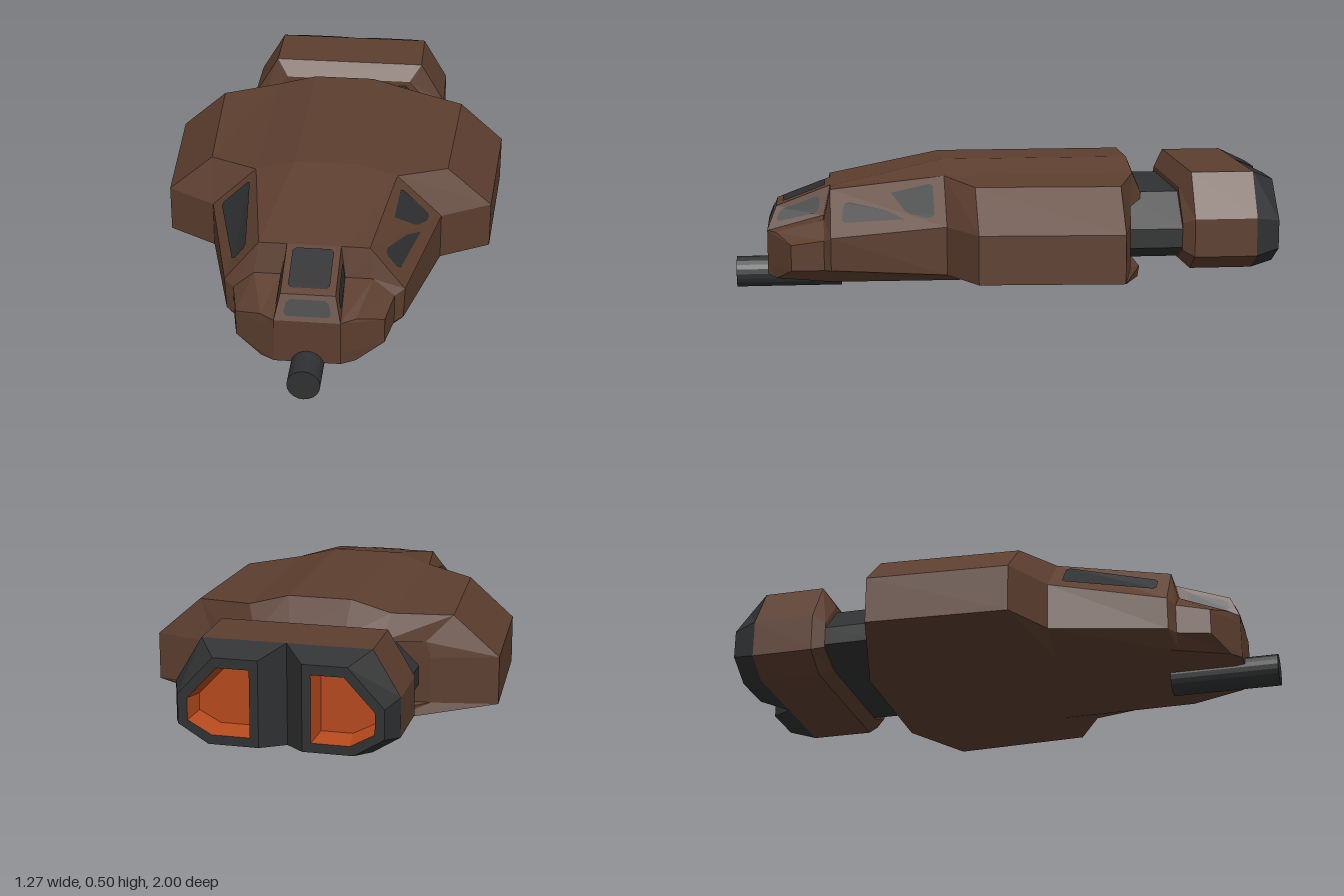
import * as THREE from 'three';

const mat = (name, color, extra = {}) => Object.assign(new THREE.MeshStandardMaterial({ color, flatShading: true, ...extra }), { name });

// Close a half outline (top to bottom on +x) by mirroring it to -x
const mirrorRing = (half) => [...half, ...half.map(([x, y, z]) => [-x, y, z]).reverse()];
// The same full outline on the other side, keeping its turning direction
const flipRing = (ring) => ring.map(([x, y, z]) => [-x, y, z]).reverse();
const at = (z, pts) => pts.map(([x, y, pz]) => [x, y, pz ?? z]);

function mesh(name, triangles, material) {
  const g = new THREE.BufferGeometry();
  g.setAttribute('position', new THREE.Float32BufferAttribute(triangles.flat(), 3));
  g.computeVertexNormals();
  const m = new THREE.Mesh(g, material);
  m.name = name;
  return m;
}

// Skin a series of rings running from front to back, with optional end caps
function loft(name, rings, material, frontCap = false, backCap = false) {
  const t = [], n = rings[0].length;
  const quad = (a, b, c, d) => t.push(a, b, c, a, c, d);
  for (let r = 0; r < rings.length - 1; r++) {
    const p = rings[r], q = rings[r + 1];
    for (let i = 0; i < n; i++) {
      const j = (i + 1) % n;
      quad(p[i], p[j], q[j], q[i]);
    }
  }
  const first = rings[0], last = rings[rings.length - 1];
  for (let i = 0; i < n / 2 - 1; i++) {
    const k = n - 1 - i;
    if (frontCap) quad(first[k], first[k - 1], first[i + 1], first[i]);
    if (backCap) quad(last[i], last[i + 1], last[k - 1], last[k]);
  }
  return mesh(name, t, material);
}

// Thin window pane with clipped corners, laid on a quad by (u, v) corners
function pane(name, corners, uvs, material, mirrored = false) {
  const [a, b, c, d] = corners.map((p) => new THREE.Vector3(...p));
  const normal = c.clone().sub(a).cross(d.clone().sub(b)).normalize();
  const pts = uvs.map(([u, v]) => a.clone().lerp(b, u).lerp(d.clone().lerp(c, u), v).addScaledVector(normal, 0.004));
  const outline = [];
  pts.forEach((p, i) => {
    for (const o of [pts[(i + 3) % 4], pts[(i + 1) % 4]]) {
      const len = p.distanceTo(o);
      outline.push(p.clone().lerp(o, Math.min(0.25, 0.012 / len)).toArray());
    }
  });
  const ring = mirrored ? flipRing(outline) : outline;
  const t = [];
  for (let i = 1; i < ring.length - 1; i++) t.push(ring[0], ring[i], ring[i + 1]);
  return mesh(name, t, material);
}

export function createModel() {
  const group = new THREE.Group();
  const brown = mat('hull brown', 0x5c3e2f);
  const dark = mat('dark metal', 0x303132);
  const glass = mat('window grey', 0x2d2e2f, { side: THREE.DoubleSide });
  const glow = mat('engine orange', 0xb5491c);

  // Hull outlines: ridge, roof edge, shoulder, side top, side bottom, belly edge
  const hull = [
    at(0.88, [[0.115, 0.237], [0.115, 0.237], [0.115, 0.237], [0.115, 0.205], [0.115, 0.11], [0.115, 0.07]]),
    at(0.845, [[0.115, 0.237, 0.875], [0.165, 0.237], [0.165, 0.237], [0.26, 0.205, 0.79], [0.26, 0.11, 0.79], [0.165, 0.065]]),
    at(0.67, [[0.115, 0.29], [0.21, 0.29], [0.21, 0.29], [0.285, 0.225], [0.285, 0.115], [0.24, 0.065]]),
    at(0.645, [[0.115, 0.4], [0.195, 0.4], [0.195, 0.4], [0.32, 0.24], [0.315, 0.12], [0.25, 0.065]]),
    at(0.23, [[0.115, 0.495], [0.26, 0.455], [0.26, 0.455], [0.425, 0.295], [0.425, 0.12], [0.26, 0.065]]),
    at(0.13, [[0.115, 0.495], [0.26, 0.455], [0.44, 0.44], [0.605, 0.295], [0.605, 0.12], [0.26, 0.065]]),
    at(-0.385, [[0.115, 0.495, -0.465], [0.26, 0.455, -0.465], [0.47, 0.44, -0.39], [0.635, 0.295], [0.635, 0.12], [0.26, 0.065, -0.49]]),
    at(-0.44, [[0.1, 0.37, -0.51], [0.23, 0.36, -0.51], [0.38, 0.35], [0.4, 0.29], [0.4, 0.125], [0.24, 0.1, -0.5]]),
  ];
  group.add(loft('hull', hull.map(mirrorRing), brown, true, true));

  // Raised cockpit on the nose
  const [ft, fb, bb, bt] = [[0.095, 0.325, 0.845], [0.115, 0.237, 0.88], [0.115, 0.28, 0.645], [0.095, 0.4, 0.645]];
  const neg = ([x, y, z]) => [-x, y, z];
  group.add(loft('cockpit', [[ft, fb], [bt, bb]].map(mirrorRing), brown, true, true));
  group.add(pane('upperWindscreen', [neg(ft), ft, bt, neg(bt)], [[0.12, 0.12], [0.88, 0.12], [0.88, 0.92], [0.12, 0.92]], glass));
  group.add(pane('lowerWindscreen', [neg(fb), fb, ft, neg(ft)], [[0.12, 0.2], [0.88, 0.2], [0.86, 0.82], [0.14, 0.82]], glass));

  // Paired cockpit and hull side windows
  const [roofF, sideF] = [hull[3][1], hull[3][3]], [roofB, sideB] = [hull[4][1], hull[4][3]];
  for (const mirrored of [false, true]) {
    const side = mirrored ? 'right' : 'left';
    group.add(pane(side + 'CockpitWindow', [ft, fb, bb, bt], [[0.25, 0.1], [0.72, 0.1], [0.75, 0.8], [0.2, 0.82]], glass, mirrored));
    group.add(pane(side + 'HullWindow', [roofF, sideF, sideB, roofB], [[0.34, 0.1], [0.72, 0.1], [0.8, 0.9], [0.13, 0.9]], glass, mirrored));
  }

  // Neck between hull and engines
  const neck = [[0.235, 0.38], [0.355, 0.26], [0.355, 0.19], [0.235, 0.135]];
  group.add(loft('engineNeck', [at(-0.43, neck), at(-0.66, neck)].map(mirrorRing), dark, true, true));

  // Engine housing
  const shell = [[0.295, 0.46], [0.39, 0.3], [0.39, 0.16], [0.295, 0.1]];
  const collar = [[0.25, 0.4], [0.355, 0.28], [0.355, 0.18], [0.25, 0.135]];
  group.add(loft('engineHousing', [at(-0.64, collar), at(-0.68, shell), at(-0.91, shell)].map(mirrorRing), brown, true));

  // Twin nozzles with a V-shaped gap and glowing recesses
  const root = at(-0.91, [[0, 0.46], ...shell, [0, 0.1]]);
  const rim = at(-1, [[0.075, 0.42], [0.23, 0.42], [0.355, 0.285], [0.355, 0.18], [0.25, 0.115], [0.075, 0.115]]);
  const lip = at(-1, [[0.105, 0.385], [0.218, 0.385], [0.322, 0.272], [0.322, 0.195], [0.238, 0.148], [0.105, 0.148]]);
  const floor = at(-0.92, [[0.12, 0.365], [0.21, 0.365], [0.305, 0.265], [0.305, 0.205], [0.23, 0.165], [0.12, 0.165]]);
  for (const [side, f] of [['left', (r) => r], ['right', flipRing]]) {
    group.add(loft(side + 'Nozzle', [root, rim, lip].map(f), dark));
    group.add(loft(side + 'NozzleGlow', [lip, floor].map(f), glow, false, true));
  }

  // Chin gun
  const gun = new THREE.Mesh(new THREE.CylinderGeometry(0.058, 0.058, 0.395, 20).rotateX(Math.PI / 2), dark);
  gun.name = 'chinGun';
  gun.position.set(0, 0.058, 0.8025);
  group.add(gun);

  return group;
}
